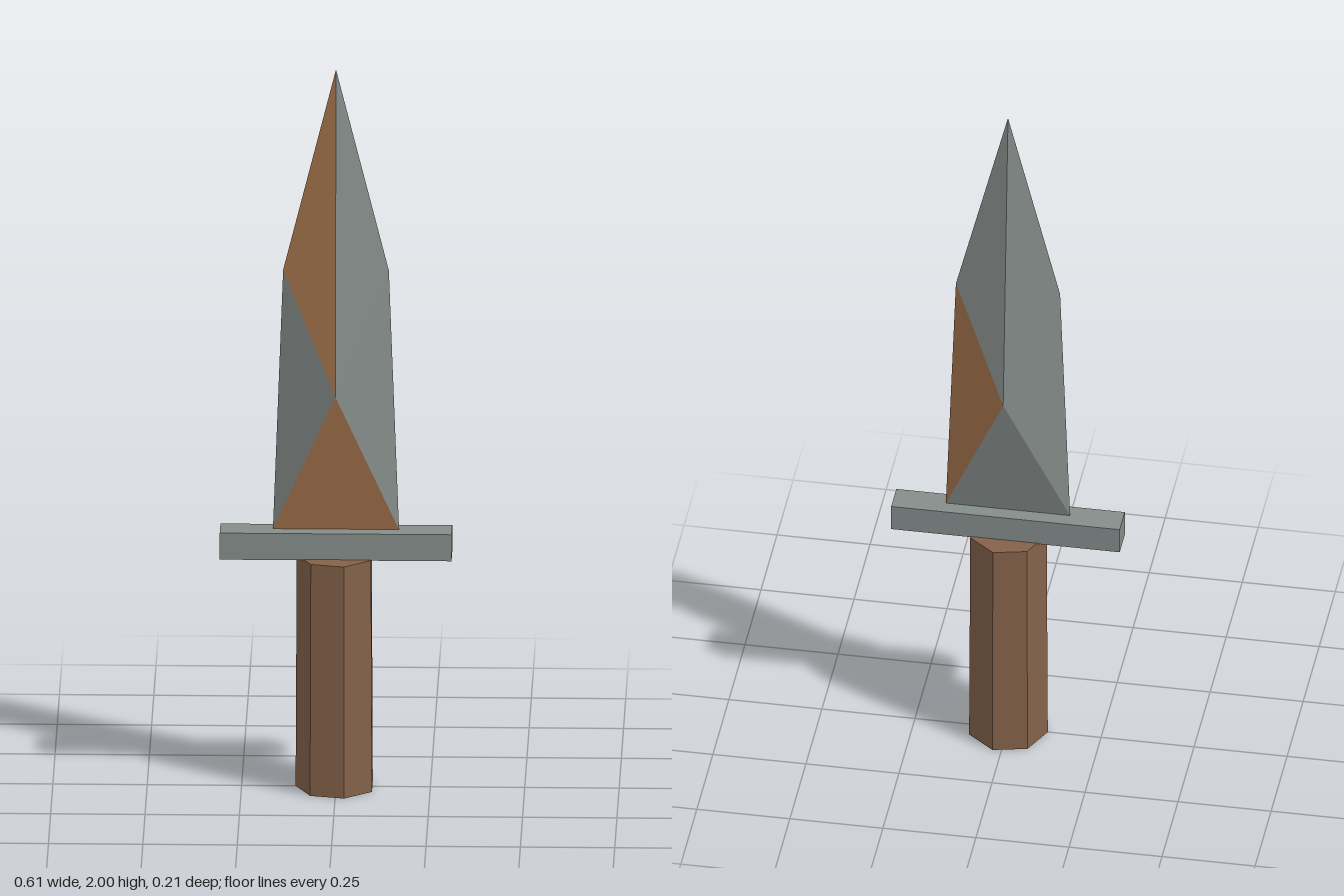
import * as THREE from 'three';

export function createModel() {
  const steel = new THREE.MeshStandardMaterial({ color: 0x868e8c });
  steel.name = 'steel';
  const rust = new THREE.MeshStandardMaterial({ color: 0xa8774e });
  rust.name = 'rust';
  const wood = new THREE.MeshStandardMaterial({ color: 0x84624a });
  wood.name = 'wood';
  steel.flatShading = rust.flatShading = wood.flatShading = true;

  const model = new THREE.Group();
  model.name = 'dagger';

  const add = (name, geometry, material, y) => {
    const mesh = new THREE.Mesh(geometry, material);
    mesh.name = name;
    mesh.position.y = y;
    model.add(mesh);
    return mesh;
  };

  // Grip: seven-sided, slightly tapered towards the guard
  add('grip', new THREE.CylinderGeometry(0.104, 0.107, 0.645, 7), wood, 0.3225).rotation.y = -Math.PI / 2;

  // Crossguard
  add('crossguard', new THREE.BoxGeometry(0.614, 0.074, 0.08), steel, 0.68);

  // Blade: outline in the z = 0 plane, with one raised point on each side
  const tip = [0, 2, 0];
  const shoulderR = [-0.14, 1.44, 0], shoulderL = [0.14, 1.44, 0];
  const baseR = [-0.167, 0.717, 0], baseL = [0.167, 0.717, 0];
  const outline = [tip, shoulderR, baseR, baseL, shoulderL];
  // Facets that are rusted, numbered by the outline edge they start from
  const rusted = { front: [0, 2], back: [3] };

  const positions = { steel: [], rust: [] };
  for (const side of ['front', 'back']) {
    const ridge = [0, 1.11, side === 'front' ? 0.075 : -0.075];
    outline.forEach((a, i) => {
      const b = outline[(i + 1) % outline.length];
      const corners = side === 'front' ? [a, b, ridge] : [b, a, ridge];
      positions[rusted[side].includes(i) ? 'rust' : 'steel'].push(...corners.flat());
    });
  }
  const facets = (points) => {
    const geometry = new THREE.BufferGeometry();
    geometry.setAttribute('position', new THREE.Float32BufferAttribute(points, 3));
    geometry.computeVertexNormals();
    return geometry;
  };
  add('bladeSteelFacets', facets(positions.steel), steel, 0);
  add('bladeRustFacets', facets(positions.rust), rust, 0);

  return model;
}
